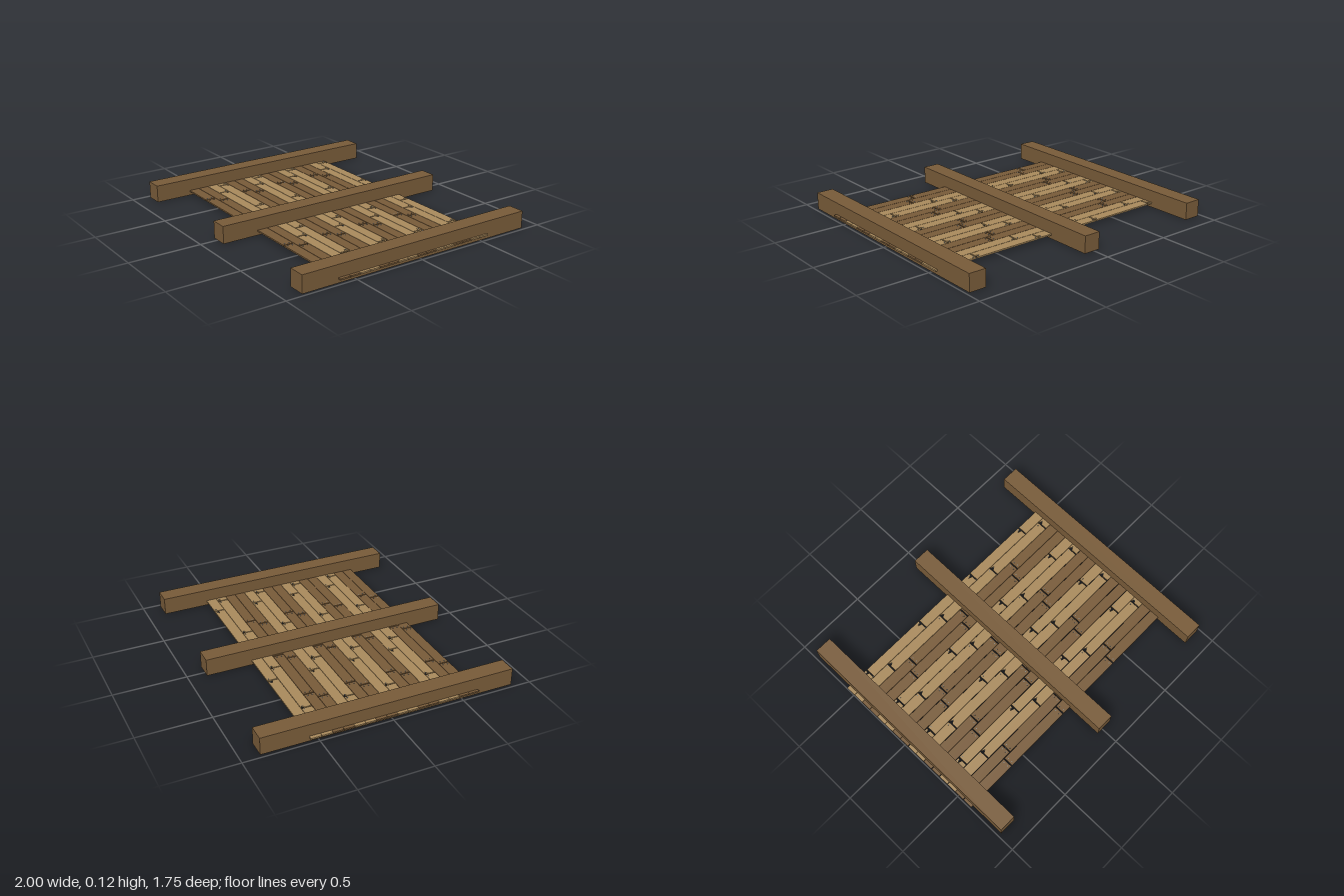
import * as THREE from 'three';

export function createModel() {
  const mat = (name, color) => {
    const m = new THREE.MeshStandardMaterial({ color });
    m.name = name;
    return m;
  };
  const darkWood = mat('dark wood', 0x785b39);
  const lightWood = mat('light wood', 0xa98a5c);
  const iron = mat('nail grey', 0x80807c);

  const model = new THREE.Group();
  model.name = 'plankDeck';
  const add = (parent, geometry, material, name, x, y, z) => {
    const mesh = new THREE.Mesh(geometry, material);
    mesh.name = name;
    mesh.position.set(x, y, z);
    parent.add(mesh);
  };

  // Three heavy cross beams
  const beam = new THREE.BoxGeometry(0.12, 0.12, 1.75);
  for (const x of [-0.914, 0.017, 0.917]) add(model, beam, darkWood, 'beam', x, 0.06, 0);

  // Flat board outline; a chip may be missing from its left or right end
  const boardShape = (x0, x1, w, chipLeft, chipRight) => {
    const h = w / 2;
    const points = [[x0, -h], [x1, -h]];
    if (chipRight) points.push([x1, 0.005], [x1 - 0.03, 0.014], [x1 - 0.004, 0.02]);
    points.push([x1, h], [x0, h]);
    if (chipLeft) points.push([x0 + 0.004, 0.03], [x0 + 0.025, 0.022], [x0, 0.01]);
    return new THREE.Shape(points.map(([x, y]) => new THREE.Vector2(x, y)));
  };
  const slab = (shape, depth) =>
    new THREE.ExtrudeGeometry(shape, { depth, bevelEnabled: false }).rotateX(-Math.PI / 2);

  // Rows of boards in a repeating pattern of four, with staggered joints
  const pitch = 0.0738;
  const width = pitch - 0.003;
  const patterns = [
    { first: -0.82, light: true, chipRight: true },
    { first: -0.69, light: true, chipLeft: true },
    { first: -0.56, light: false },
    { first: -0.62, light: false },
  ];
  const nail = new THREE.CylinderGeometry(0.004, 0.004, 0.004, 6);

  for (let row = 0; row < 16; row++) {
    const p = patterns[row % 4];
    const z = -0.56 + (row + 0.5) * pitch;
    const shift = row * 0.0006;
    const left = -1 + shift * 0.8;
    const right = 0.99 + shift;
    const joints = [];
    for (let x = p.first + shift; x < right - 0.02; x += 0.5) joints.push(x);
    const stops = [left, ...joints, right];
    const group = new THREE.Group();
    group.name = 'boardRow';
    group.position.z = z;
    model.add(group);

    for (let i = 0; i < stops.length - 1; i++) {
      const startsAtJoint = i > 0;
      const endsAtJoint = i < stops.length - 2;
      const shape = boardShape(
        stops[i] + (startsAtJoint ? 0.004 : 0),
        stops[i + 1] - (endsAtJoint ? 0.004 : 0),
        width,
        p.chipLeft && startsAtJoint,
        p.chipRight && endsAtJoint,
      );
      add(group, slab(shape, 0.009), p.light ? lightWood : darkWood, 'board', 0, 0.026, 0);
      // Paler underside skin
      add(group, slab(shape, 0.001), lightWood, 'boardUnderside', 0, 0.025, 0);
    }

    // Nail heads either side of each joint
    const nailRows = p.light ? [-0.022] : [-0.016, 0.016];
    for (const x of joints) {
      for (const side of [-1, 1]) {
        for (const nz of nailRows) {
          const nx = x + side * 0.02;
          if (nx < right - 0.005) add(group, nail, iron, 'nail', nx, 0.036, nz);
        }
      }
    }
  }
  return model;
}
